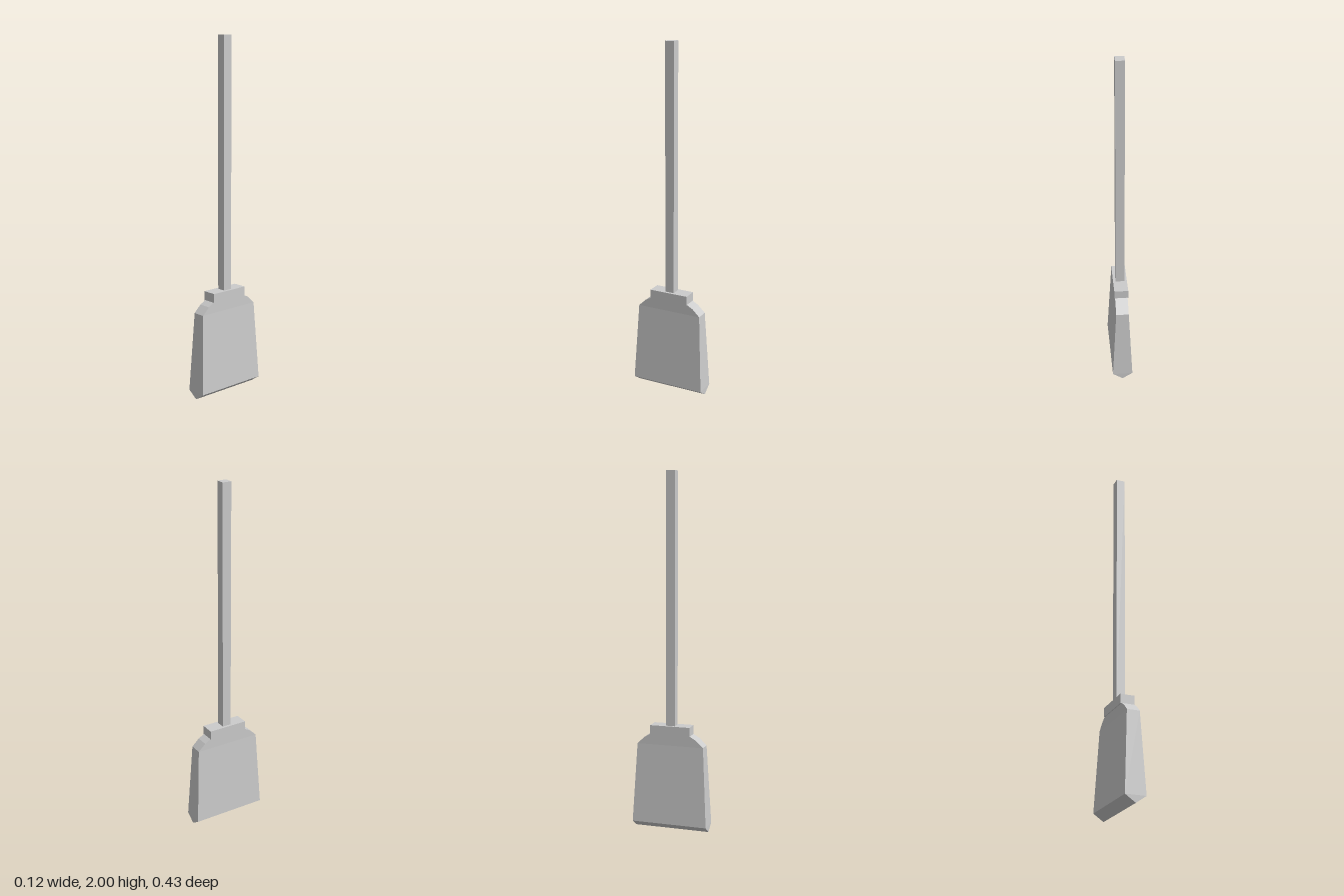
import * as THREE from 'three';

const material = new THREE.MeshStandardMaterial({ color: 0xcccccc, flatShading: true });

function addMesh(group, name, geometry) {
  const mesh = new THREE.Mesh(geometry, material);
  mesh.name = name;
  group.add(mesh);
  return mesh;
}

// Box standing between two heights
function addBox(group, name, width, depth, bottom, top) {
  addMesh(group, name, new THREE.BoxGeometry(width, top - bottom, depth))
    .position.y = (bottom + top) / 2;
}

// Box whose rows of corners follow rectangular sections [height, half width, half depth]
function sectionedBox(sections) {
  const rows = sections.length - 1;
  const box = new THREE.BoxGeometry(2, 2, 2, 1, rows, 1);
  // Drop the bottom face, which closes to a ridge
  const { start, count } = box.groups[3];
  const index = Array.from(box.index.array);
  index.splice(start, count);
  box.setIndex(index);
  box.clearGroups();
  const p = box.attributes.position;
  for (let i = 0; i < p.count; i++) {
    const [y, hx, hz] = sections[Math.round((p.getY(i) + 1) / 2 * rows)];
    p.setXYZ(i, Math.sign(p.getX(i)) * hx, y, Math.sign(p.getZ(i)) * hz);
  }
  const geometry = box.toNonIndexed();
  geometry.computeVertexNormals();
  return geometry;
}

export function createModel() {
  const broom = new THREE.Group();
  broom.name = 'broom';

  // Flared bristles with a wedge tip and rounded shoulders
  addMesh(broom, 'bristles', sectionedBox([
    [0, 0, 0.216],
    [0.04, 0.058, 0.216],
    [0.49, 0.036, 0.192],
    [0.53, 0.036, 0.15],
    [0.55, 0.036, 0.114],
  ]));

  // Cap holding the bristles
  addBox(broom, 'cap', 0.08, 0.23, 0.547, 0.6);

  // Square handle
  addBox(broom, 'handle', 0.05, 0.052, 0.58, 2);

  return broom;
}
